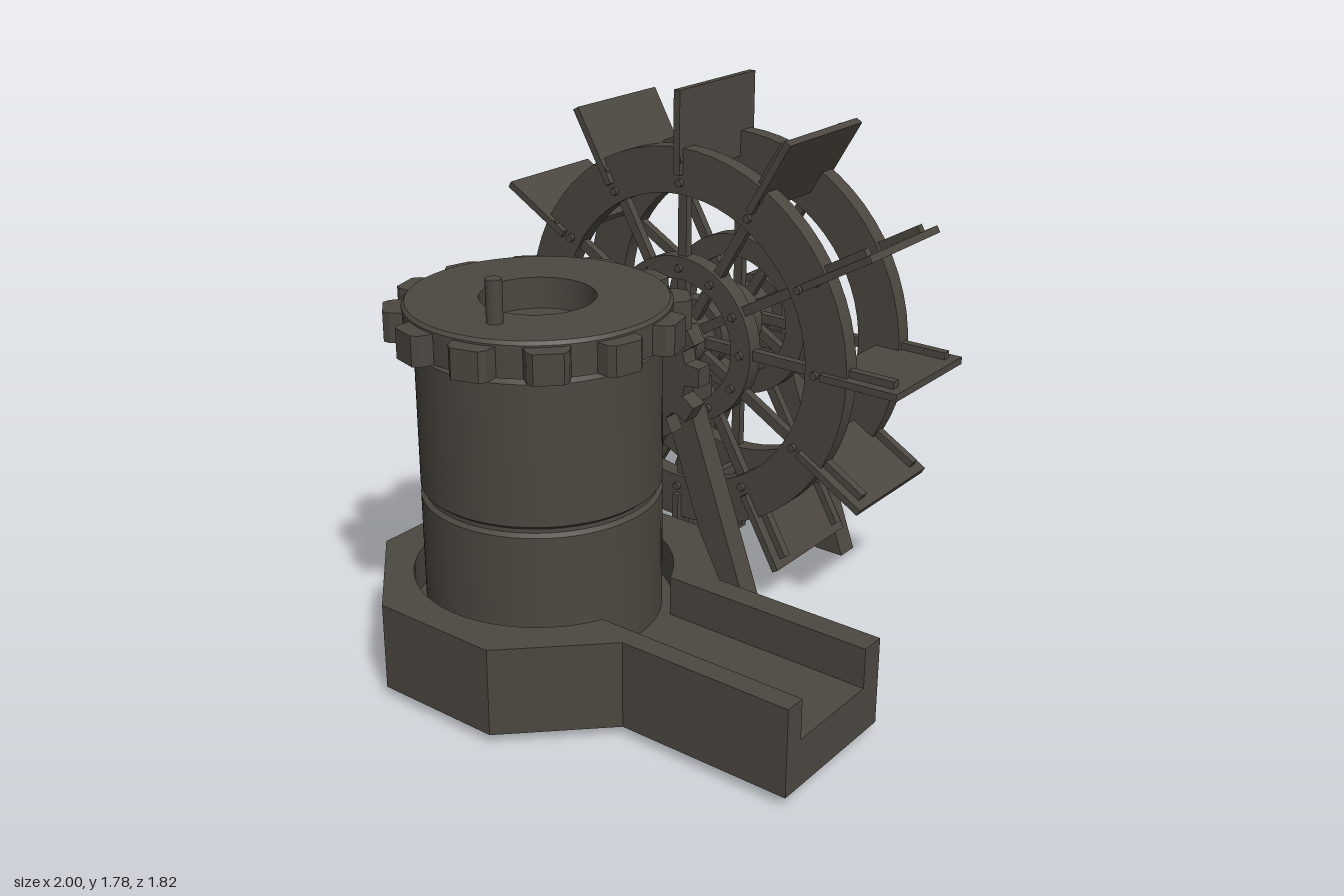
import * as THREE from 'three';
import { toCreasedNormals } from 'three/addons/utils/BufferGeometryUtils.js';

const iron = new THREE.MeshStandardMaterial({ color: 0x4b4740 });
iron.name = 'dark weathered iron';

const AXLE_X = -0.125, AXLE_Y = 0.9, TOWER_Z = 0.376;

function add(parent, name, geometry, x = 0, y = 0, z = 0) {
  const mesh = new THREE.Mesh(geometry, iron);
  mesh.name = name;
  mesh.position.set(x, y, z);
  parent.add(mesh);
  return mesh;
}

const box = (w, h, d) => new THREE.BoxGeometry(w, h, d);
const creased = (g) => toCreasedNormals(g, 0.5);
const polygon = (pts) => new THREE.Shape(pts.map(([x, y]) => new THREE.Vector2(x, y)));

// Prism along z, centred on z = 0
function prism(shape, depth) {
  const g = new THREE.ExtrudeGeometry(shape, { depth, bevelEnabled: false, curveSegments: 32 });
  return creased(g.translate(0, 0, -depth / 2));
}

// Upright prism from an (x, z) outline, between two heights
function slab(shape, y0, y1) {
  const g = new THREE.ExtrudeGeometry(shape, { depth: y1 - y0, bevelEnabled: false, curveSegments: 48 });
  return creased(g.rotateX(Math.PI / 2).translate(0, y1, 0));
}

// Cylinder along z
const rod = (r, length, sides = 32) => new THREE.CylinderGeometry(r, r, length, sides).rotateX(Math.PI / 2);

function ring(outer, inner, depth) {
  const shape = new THREE.Shape().absarc(0, 0, outer, 0, Math.PI * 2);
  shape.holes.push(new THREE.Path().absarc(0, 0, inner, 0, Math.PI * 2, true));
  return prism(shape, depth);
}

// Stone basin with an open outlet trough
function addBase(model) {
  const outline = [[0.995, 0.62], [0.4, 0.62], [0.11, 0.905], [-0.335, 0.905], [-0.645, 0.59],
    [-0.645, 0.15], [-0.335, -0.155], [0.11, -0.155], [0.4, 0.12], [0.995, 0.12]];
  add(model, 'basinFloor', slab(polygon(outline), 0.035, 0.195));

  // The wall follows the outline, then the channel and the round recess
  const wall = polygon(outline);
  const r = 0.425, half = 0.172, a = Math.asin(half / r);
  wall.lineTo(0.995, TOWER_Z - half);
  wall.absarc(AXLE_X, TOWER_Z, r, -a, a - Math.PI * 2, true);
  wall.lineTo(0.995, TOWER_Z + half);
  add(model, 'basinWall', slab(wall, 0.195, 0.33));
}

// Grinding tower with a groove, gear disc and hollow top
function addTower(model) {
  const tower = new THREE.Group();
  tower.name = 'tower';
  tower.position.set(AXLE_X, 0, TOWER_Z);
  model.add(tower);

  const profile = [[0.388, 0.19], [0.388, 0.613], [0.374, 0.624], [0.374, 0.638], [0.388, 0.65],
    [0.388, 1.11], [0.37, 1.125], [0.37, 1.14], [0.42, 1.14], [0.42, 1.243], [0.41, 1.254],
    [0.183, 1.254], [0.183, 1.15], [0, 1.15]].map(([x, y]) => new THREE.Vector2(x, y));
  add(tower, 'towerBody', creased(new THREE.LatheGeometry(profile, 64)));

  const tooth = slab(polygon([[0.4, -0.072], [0.455, -0.062], [0.475, -0.045],
    [0.475, 0.045], [0.455, 0.062], [0.4, 0.072]]), 1.14, 1.237);
  for (let i = 0; i < 12; i++) {
    add(tower, 'towerGearTooth', tooth).rotation.y = (i + 0.5) * Math.PI / 6;
  }
  add(tower, 'crankPin', new THREE.CylinderGeometry(0.026, 0.026, 0.16, 20), 0.065, 1.31, 0.264);
}

// Twin-rimmed wheel with twelve paddles
function addWheel(axle) {
  const wheel = new THREE.Group();
  wheel.name = 'waterWheel';
  axle.add(wheel);
  const rim = ring(0.68, 0.52, 0.062), innerRing = ring(0.3, 0.22, 0.062);
  const spoke = box(0.035, 0.6, 0.03), brace = box(0.025, 0.26, 0.03);
  const bolt = rod(0.014, 0.02, 8);

  const sides = [[-0.385, 1], [-0.722, -1]];
  for (const [z, out] of sides) {
    add(wheel, 'rim', rim, 0, 0, z);
    add(wheel, 'innerRing', innerRing, 0, 0, z);
    add(wheel, 'hub', rod(0.13, 0.06), 0, 0, z - out * 0.075);
    add(wheel, 'hubCollar', rod(0.1, 0.13), 0, 0, z);
  }
  for (let i = 0; i < 12; i++) {
    const arm = new THREE.Group();
    arm.name = 'paddleArm';
    arm.rotation.z = i * Math.PI / 6;
    wheel.add(arm);
    add(arm, 'paddle', box(0.025, 0.288, 0.436), -0.0025, 0.733, -0.552);
    for (const [z, out] of sides) {
      add(arm, 'spoke', spoke, -0.0025, 0.36, z);
      add(arm, 'paddleBrace', brace, -0.0275, 0.715, z);
      for (const r of [0.26, 0.56, 0.64]) add(arm, 'bolt', bolt, 0, r, z + out * 0.036);
    }
  }
}

// Axle, pinion and the two trestles
function addDrive(axle) {
  add(axle, 'mainShaft', rod(0.07, 0.7), 0, 0, -0.552);
  add(axle, 'frontShaft', rod(0.03, 0.2, 20), 0, 0, -0.15);
  add(axle, 'rearShaftEnd', rod(0.04, 0.1, 20), 0, 0, -0.86);

  const outline = [];
  for (let i = 0; i < 12; i++) {
    for (const [r, offset] of [[0.225, -0.17], [0.28, -0.12], [0.28, 0.12], [0.225, 0.17]]) {
      const a = i * Math.PI / 6 + offset;
      outline.push([r * Math.cos(a), r * Math.sin(a)]);
    }
  }
  add(axle, 'pinion', prism(polygon(outline), 0.062), 0, 0, -0.122);
  add(axle, 'pinionBoss', rod(0.05, 0.125, 24), 0, 0, -0.117);

  const cap = new THREE.Shape();
  cap.moveTo(-0.12, -0.075);
  cap.lineTo(0.12, -0.075);
  cap.absarc(0, 0, 0.12, 0, Math.PI);
  for (const z of [-0.25, -0.859]) {
    const trestle = new THREE.Group();
    trestle.name = 'trestle';
    trestle.position.z = z;
    axle.add(trestle);
    add(trestle, 'bearingBase', box(0.36, 0.075, 0.106), 0, -0.1125, 0);
    add(trestle, 'bearingCap', prism(cap, 0.082));
    for (const s of [-1, 1]) {
      const foot = [[s * 0.305, -AXLE_Y], [s * 0.42, -AXLE_Y], [s * 0.145, -0.14], [s * 0.03, -0.14]];
      add(trestle, 'trestleLeg', prism(polygon(foot), 0.084));
    }
  }
}

export function createModel() {
  const model = new THREE.Group();
  model.name = 'waterMill';
  addBase(model);
  addTower(model);
  const axle = new THREE.Group();
  axle.name = 'axleAssembly';
  axle.position.set(AXLE_X, AXLE_Y, 0);
  model.add(axle);
  addWheel(axle);
  addDrive(axle);
  return model;
}
